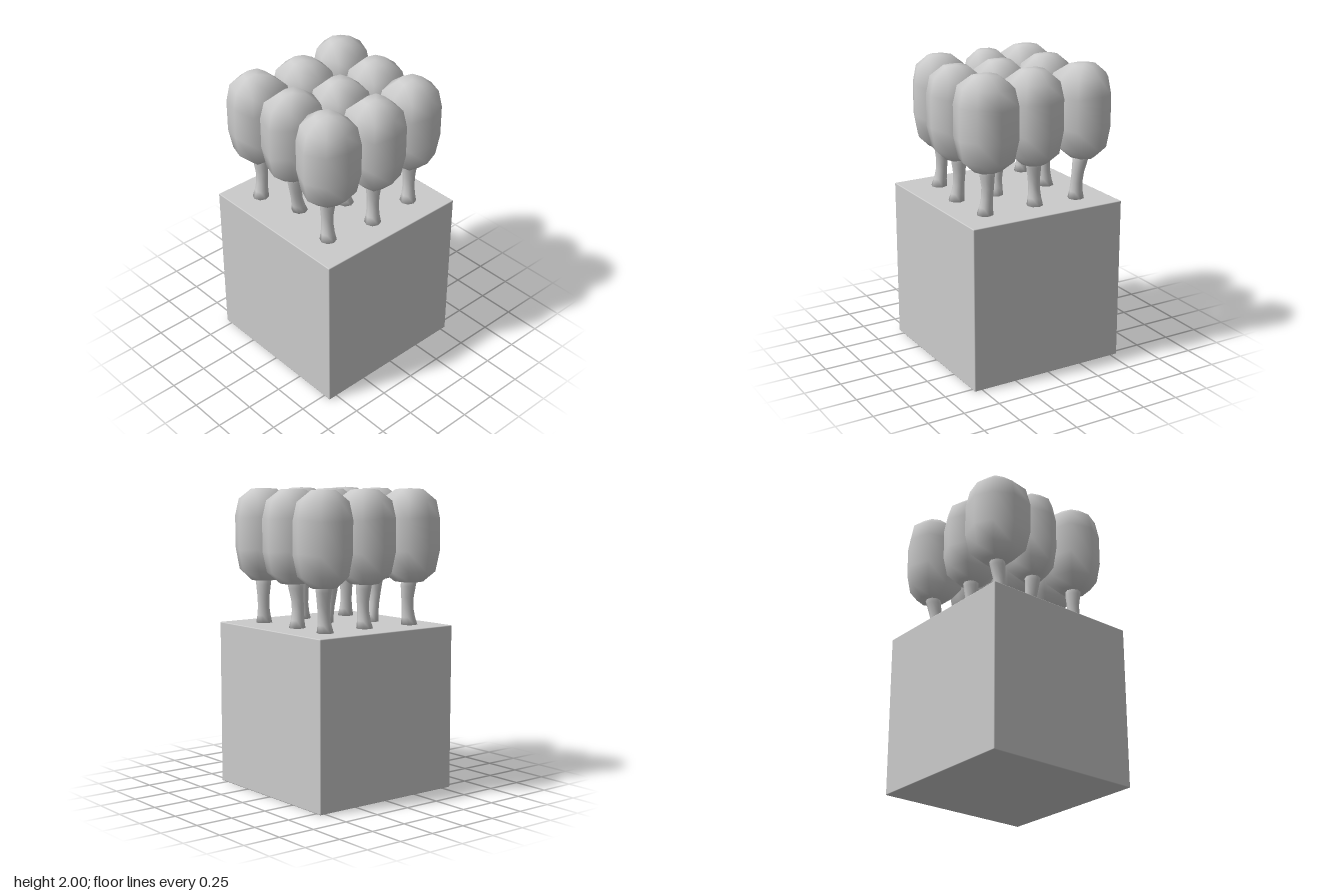
import * as THREE from 'three';
import { mergeVertices } from 'three/addons/utils/BufferGeometryUtils.js';
import { RoundedBoxGeometry } from 'three/addons/geometries/RoundedBoxGeometry.js';

const material = new THREE.MeshStandardMaterial({ color: 0xcccccc });
const GROUND = 1.1;

// Each tree: crown centre, trunk base, and crown radius every 45 degrees from +x towards +z
const TREES = [
  { at: [-0.36, -0.36], base: [-0.33, -0.33], radii: [0.2, 0.235, 0.19, 0.18, 0.19, 0.175, 0.205, 0.2] },
  { at: [0, -0.33], base: [-0.02, -0.32], radii: [0.19, 0.215, 0.18, 0.19, 0.175, 0.195, 0.2, 0.205] },
  { at: [0.345, -0.325], base: [0.35, -0.32], radii: [0.185, 0.21, 0.18, 0.215, 0.2, 0.215, 0.195, 0.19] },
  { at: [-0.31, 0.01], base: [-0.31, 0.01], radii: [0.205, 0.2, 0.175, 0.2, 0.19, 0.185, 0.185, 0.215] },
  { at: [0.04, 0.01], base: [0.09, 0], radii: [0.175, 0.21, 0.18, 0.19, 0.17, 0.19, 0.18, 0.21] },
  { at: [0.365, 0.01], base: [0.37, 0.02], radii: [0.185, 0.205, 0.175, 0.205, 0.17, 0.2, 0.175, 0.195] },
  { at: [-0.365, 0.35], base: [-0.34, 0.37], radii: [0.18, 0.225, 0.185, 0.195, 0.185, 0.205, 0.18, 0.225] },
  { at: [-0.035, 0.33], base: [-0.05, 0.28], radii: [0.155, 0.16, 0.195, 0.205, 0.175, 0.2, 0.19, 0.2] },
  { at: [0.31, 0.35], base: [0.32, 0.36], radii: [0.185, 0.185, 0.195, 0.195, 0.21, 0.21, 0.18, 0.205] },
];

// Relative radius and height from the underside to the top of a crown
const CROWN = [[0, 1.385], [0.45, 1.39], [0.86, 1.46], [1, 1.6], [1, 1.81], [0.87, 1.925], [0.42, 1.995], [0, 2]];
const TRUNK = [[0, 1.1], [0.055, 1.1], [0.045, 1.15], [0.039, 1.21], [0.041, 1.28], [0.05, 1.36], [0.056, 1.44], [0, 1.44]];

const points = (list) => list.map(([r, y]) => new THREE.Vector2(r, y));

// Weld the lathe seam so the shading is smooth all round
function weld(geometry) {
  geometry.deleteAttribute('uv');
  geometry.deleteAttribute('normal');
  const welded = mergeVertices(geometry, 1e-4);
  welded.computeVertexNormals();
  return welded;
}

function crown({ at, radii }, index) {
  const geometry = new THREE.LatheGeometry(points(CROWN), 8);
  const p = geometry.attributes.position;
  for (let i = 0; i < p.count; i++) {
    const angle = Math.atan2(p.getZ(i), p.getX(i));
    const k = (Math.round(angle / (Math.PI / 4)) + 8) % 8;
    const y = p.getY(i);
    // Uneven shoulders, level at the poles
    const lift = 0.015 * Math.sin(k * 2.4 + index * 1.7) * Math.max(0, 1 - Math.abs(y - 1.7) / 0.28);
    p.setXYZ(i, at[0] + p.getX(i) * radii[k], y + lift, at[1] + p.getZ(i) * radii[k]);
  }
  return weld(geometry);
}

function trunk({ at, base }, index) {
  const geometry = new THREE.LatheGeometry(points(TRUNK), 8);
  const p = geometry.attributes.position;
  for (let i = 0; i < p.count; i++) {
    const t = (p.getY(i) - GROUND) / 0.34;
    const bend = 0.014 * Math.sin(t * Math.PI);
    // Lean towards the crown centre with a slight bow
    p.setX(i, p.getX(i) + THREE.MathUtils.lerp(base[0], at[0], t) + bend * Math.cos(index * 2));
    p.setZ(i, p.getZ(i) + THREE.MathUtils.lerp(base[1], at[1], t) + bend * Math.sin(index * 2));
  }
  return weld(geometry);
}

export function createModel() {
  const model = new THREE.Group();
  model.name = 'treesOnBlock';

  const add = (parent, name, geometry) => {
    const mesh = new THREE.Mesh(geometry, material);
    mesh.name = name;
    parent.add(mesh);
    return mesh;
  };

  // Ground block
  add(model, 'groundBlock', new RoundedBoxGeometry(1.103, GROUND, 1.103, 2, 0.006))
    .position.set(0.004, GROUND / 2, 0.012);

  // Three by three grove
  TREES.forEach((spec, index) => {
    const tree = new THREE.Group();
    tree.name = 'tree';
    add(tree, 'trunk', trunk(spec, index));
    add(tree, 'crown', crown(spec, index));
    model.add(tree);
  });

  return model;
}
